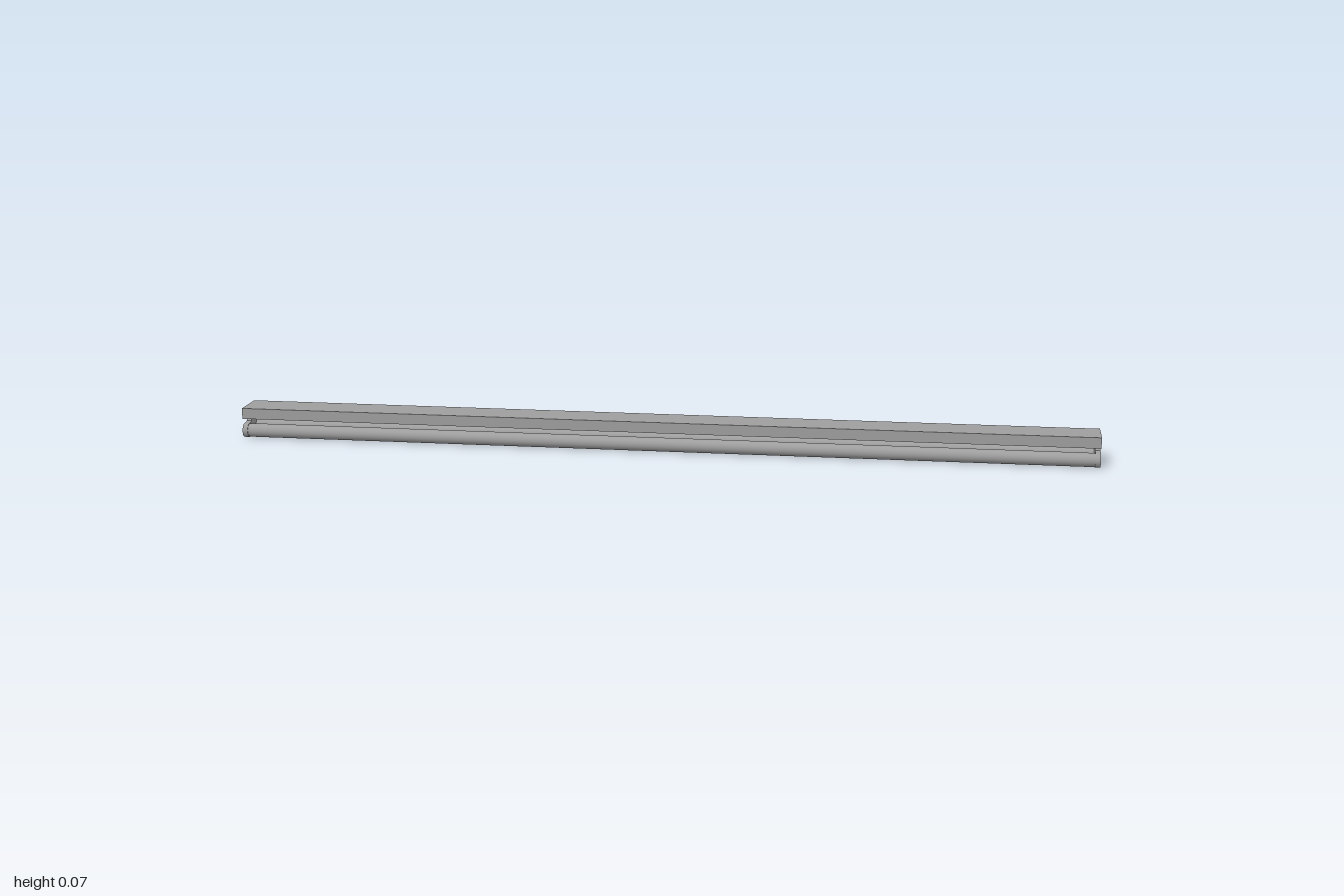
import * as THREE from 'three';

const grey = new THREE.MeshStandardMaterial({ color: 0x9e9e9e });
grey.name = 'grey metal';

const LOBE = { z: 0.0297, y: 0.0172, r: 0.0168 };
const THICK = 0.012;

// Forked end plate: a neck that splits into two round lamp sockets
function holderShape() {
  const half = [];
  // neck, flaring slightly where it meets the housing
  half.push([0.016, 0.0478], [0.0138, 0.0462], [0.0133, 0.044], [0.0133, 0.0395], [0.0148, 0.0362], [0.0185, 0.0346]);
  // socket, clockwise from its top round to its lower inner side
  for (let i = 0; i <= 24; i++) {
    const a = THREE.MathUtils.degToRad(92 - i * (212 / 24));
    half.push([LOBE.z + LOBE.r * Math.cos(a), LOBE.y + LOBE.r * Math.sin(a)]);
  }
  // arch between the sockets
  half.push([0.0145, 0.0065], [0.009, 0.0102], [0.0045, 0.0124], [0.0015, 0.0131]);
  const other = half.map(([x, y]) => [-x, y]).reverse();
  return new THREE.Shape([...half, ...other].map(([x, y]) => new THREE.Vector2(x, y)));
}

export function createModel() {
  const group = new THREE.Group();
  const add = (name, geometry, x, y, z) => {
    const mesh = new THREE.Mesh(geometry, grey);
    mesh.name = name;
    mesh.position.set(x, y, z);
    group.add(mesh);
    return mesh;
  };

  // Long housing
  add('housing', new THREE.BoxGeometry(2, 0.0252, 0.088), 0, 0.0598, 0);

  // End holders
  const holder = new THREE.ExtrudeGeometry(holderShape(), { depth: THICK, bevelEnabled: false });
  holder.translate(0, 0, -THICK / 2).rotateY(Math.PI / 2);
  for (const s of [-1, 1]) add(s > 0 ? 'leftHolder' : 'rightHolder', holder, s * (1 - THICK / 2), 0, 0);

  // Twin lamps with narrowed ends and metal caps
  const end = 1 - THICK;
  const tube = new THREE.CylinderGeometry(0.016, 0.016, 2 * (end - 0.018), 32, 1, true).rotateZ(Math.PI / 2);
  const cap = new THREE.CylinderGeometry(0.0152, 0.016, 0.018, 32).rotateZ(-Math.PI / 2);
  for (const side of [-1, 1]) {
    const label = side > 0 ? 'front' : 'back';
    add(label + 'Lamp', tube, 0, LOBE.y, side * LOBE.z);
    for (const s of [-1, 1]) {
      const mesh = add(label + 'LampCap', cap, s * (end - 0.009), LOBE.y, side * LOBE.z);
      if (s < 0) mesh.rotation.y = Math.PI;
    }
  }
  return group;
}
